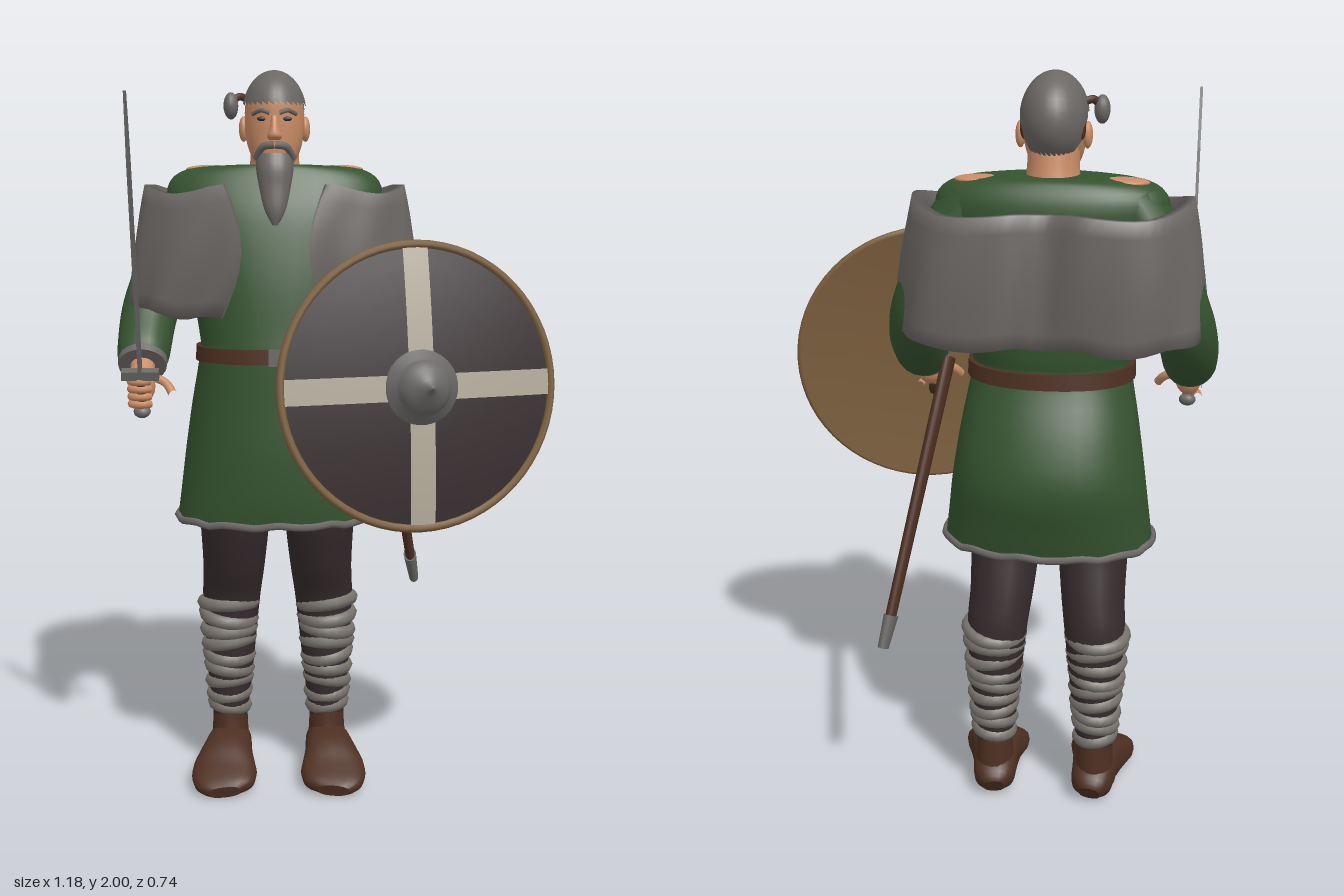
import * as THREE from 'three';

const V = (x, y, z) => new THREE.Vector3(x, y, z);
const CX = -0.16; // body centre line

// Closed skin through rows of points, with flat end caps
function skin(rows) {
  const n = rows[0].length;
  const mid = (r) => {
    const c = V(0, 0, 0);
    r.forEach((p) => c.addScaledVector(p, 1 / n));
    return r.map(() => c);
  };
  const last = rows[rows.length - 1];
  const all = [mid(rows[0]), rows[0], ...rows, last, mid(last)];
  const idx = [];
  for (let i = 0; i < all.length - 1; i++) {
    for (let j = 0; j < n; j++) {
      const a = i * n + j, b = i * n + (j + 1) % n;
      idx.push(a, b, a + n, b, b + n, a + n);
    }
  }
  const g = new THREE.BufferGeometry().setFromPoints(all.flat());
  g.setIndex(idx);
  g.computeVertexNormals();
  return g;
}

// Smooth loft through elliptical sections [x, y, z, rx, rz]; level keeps rings horizontal (list top down)
function loft(secs, { level = false, sides = 20, pow = 1, sub = 4 } = {}) {
  const at = (i) => secs[Math.max(0, Math.min(secs.length - 1, i))];
  const pts = [];
  for (let i = 0; i < secs.length - 1; i++) {
    for (let k = 0; k < sub + (i === secs.length - 2 ? 1 : 0); k++) {
      const t = k / sub;
      pts.push(secs[i].map((_, c) => {
        const [p, q, r, s] = [at(i - 1)[c], at(i)[c], at(i + 1)[c], at(i + 2)[c]];
        return q + 0.5 * t * (r - p + t * (2 * p - 5 * q + 4 * r - s + t * (3 * (q - r) + s - p)));
      }));
    }
  }
  const sp = (v) => Math.sign(v) * Math.abs(v) ** pow;
  return skin(pts.map((p, i) => {
    const a = pts[Math.max(0, i - 1)], b = pts[Math.min(pts.length - 1, i + 1)];
    const T = level ? V(0, -1, 0) : V(b[0] - a[0], b[1] - a[1], b[2] - a[2]).normalize();
    const U = V(1, 0, 0).addScaledVector(T, -T.x).normalize();
    const W = T.clone().cross(U);
    return Array.from({ length: sides }, (_, j) => {
      const w = (j / sides) * Math.PI * 2;
      return V(p[0], p[1], p[2]).addScaledVector(U, sp(Math.cos(w)) * p[3]).addScaledVector(W, sp(Math.sin(w)) * p[4]);
    });
  }));
}

export function createModel() {
  const root = new THREE.Group();
  const mat = (name, color) => new THREE.MeshStandardMaterial({ name, color });
  const green = mat('green wool', 0x35532f), fur = mat('grey cloth', 0x6b6764), skinM = mat('skin', 0xc98c65);
  const dark = mat('dark cloth', 0x352b2d), wrap = mat('leg wrap', 0x77726c), brown = mat('brown leather', 0x4e3022);
  const wood = mat('wood', 0x7d603e), cream = mat('cream paint', 0xb3ab9a), metal = mat('metal', 0x6a6967);

  const add = (name, geo, m, parent = root) => {
    const mesh = new THREE.Mesh(geo, m);
    mesh.name = name;
    parent.add(mesh);
    return mesh;
  };
  const ball = (name, m, x, y, z, sx, sy, sz) =>
    add(name, new THREE.SphereGeometry(1, 16, 12).scale(sx, sy, sz).translate(x, y, z), m);
  const rod = (name, m, pts, r, parent = root) =>
    add(name, new THREE.TubeGeometry(new THREE.CatmullRomCurve3(pts.map((p) => V(...p))), 12, r, 8), m, parent);
  const level = (rows) => rows.map(([y, z, rx, rz]) => [CX, y, z, rx, rz]);

  // Tunic, hem and belt
  add('tunic', loft(level([[1.75, -0.12, 0.1, 0.085], [1.738, -0.125, 0.24, 0.1], [1.69, -0.125, 0.295, 0.125],
    [1.6, -0.11, 0.28, 0.145], [1.45, -0.09, 0.24, 0.158], [1.3, -0.075, 0.212, 0.163], [1.24, -0.07, 0.21, 0.165],
    [1.1, -0.1, 0.235, 0.2], [0.97, -0.115, 0.255, 0.22], [0.85, -0.105, 0.27, 0.205], [0.775, -0.1, 0.28, 0.19]]),
  { level: true, sides: 36, pow: 0.9 }), green);
  const hem = [];
  for (let i = 0; i < 36; i++) {
    const a = (i / 36) * Math.PI * 2, sp = (v) => Math.sign(v) * Math.abs(v) ** 0.9;
    hem.push(V(CX + 0.28 * sp(Math.cos(a)), 0.776 + 0.004 * Math.sin(i * 2.3), -0.1 + 0.19 * sp(Math.sin(a))));
  }
  add('hem', new THREE.TubeGeometry(new THREE.CatmullRomCurve3(hem, true), 72, 0.011, 6, true), fur);
  add('belt', loft(level([[1.262, -0.07, 0.22, 0.174], [1.222, -0.071, 0.222, 0.177]]), { level: true, sides: 36, pow: 0.9 }), brown);
  add('buckle', new THREE.BoxGeometry(0.04, 0.045, 0.016).translate(CX, 1.242, 0.108), metal);

  // Limbs, mirrored about the body centre
  for (const s of [1, -1]) {
    const side = s > 0 ? 'left' : 'right';
    const limb = (rows) => rows.map(([dx, ...r]) => [CX + s * dx, ...r]);
    const X = (dx) => CX + s * dx;
    add(side + 'Sleeve', loft(limb([[0.2, 1.69, -0.125, 0.07, 0.09], [0.265, 1.58, -0.135, 0.08, 0.095],
      [0.325, 1.43, -0.15, 0.078, 0.088], [0.352, 1.335, -0.1, 0.077, 0.082], [0.36, 1.25, -0.01, 0.072, 0.07],
      [0.36, 1.22, 0.035, 0.062, 0.055]])), green);
    add(side + 'Cuff', loft(limb([[0.36, 1.228, 0.024, 0.067, 0.06], [0.36, 1.216, 0.042, 0.065, 0.057]])), fur);
    add(side + 'Hand', loft(limb([[0.36, 1.22, 0.03, 0.034, 0.032], [0.358, 1.19, 0.075, 0.032, 0.03],
      [0.358, 1.165, 0.1, 0.036, 0.042], [0.358, 1.155, 0.125, 0.028, 0.036]])), skinM);
    for (let i = 0; i < 4; i++) {
      const y = 1.185 - i * 0.021, z = 0.118 - i * 0.006;
      rod(side + 'Finger', skinM, [[X(0.385), y, z - 0.02], [X(0.382), y, z + 0.018], [X(0.355), y, z + 0.03], [X(0.335), y, z + 0.012]], 0.0105);
    }
    rod(side + 'Thumb', skinM, [[X(0.345), 1.195, 0.07], [X(0.295), 1.175, 0.09], [X(0.275), 1.15, 0.115]], 0.012);
    // bare patch on top of the shoulder
    ball(side + 'ShoulderPatch', skinM, X(0.18), 1.738, -0.145, 0.065, 0.012, 0.04).rotation.y = 0;

    add(side + 'Trouser', loft(limb([[0.125, 0.86, -0.08, 0.1, 0.11], [0.12, 0.77, -0.075, 0.098, 0.105],
      [0.125, 0.62, -0.12, 0.088, 0.098], [0.135, 0.5, -0.155, 0.082, 0.082], [0.14, 0.3, -0.15, 0.066, 0.07],
      [0.142, 0.14, -0.15, 0.048, 0.058]]), { level: true }), dark);
    for (let i = 0; i < 9; i++) {
      const t = i / 8, r = 0.044 + 0.026 * t;
      const band = add(side + 'LegWrap', new THREE.TorusGeometry(r, 0.022, 8, 20).rotateX(Math.PI / 2), wrap);
      band.scale.set(1, 0.95, 1.04);
      band.position.set(X(0.143), 0.19 + 0.31 * t, -0.152);
      band.rotation.set(0.12 * Math.sin(i * 2.1), 0, 0.16 * Math.sin(i * 1.7 + s));
    }
    add(side + 'BootShaft', loft(limb([[0.142, 0.19, -0.15, 0.05, 0.06], [0.142, 0.12, -0.148, 0.052, 0.066],
      [0.143, 0.04, -0.14, 0.06, 0.078]]), { level: true }), brown);
    add(side + 'Boot', loft(limb([[0.135, 0.036, -0.222, 0.03, 0.03], [0.138, 0.05, -0.195, 0.055, 0.05],
      [0.143, 0.067, -0.12, 0.064, 0.067], [0.15, 0.062, -0.05, 0.076, 0.062], [0.155, 0.043, 0.02, 0.092, 0.043],
      [0.155, 0.028, 0.08, 0.08, 0.028], [0.152, 0.02, 0.108, 0.045, 0.018]]), { pow: 0.8 }), brown);
  }

  // Mantle: a draped band round the shoulders, open at the front
  const half = [[0.1, 0.085], [0.2, 0.07], [0.31, 0.03], [0.37, -0.06], [0.358, -0.2], [0.27, -0.315], [0.11, -0.335]];
  const path = new THREE.CatmullRomCurve3([...half.map(([x, z]) => V(x, 0, z)), V(0, 0, -0.295),
    ...half.slice().reverse().map(([x, z]) => V(-x, 0, z))]);
  const rows = [], steps = 72, drop = 8;
  for (let i = 0; i <= steps; i++) {
    const u = i / steps, p = path.getPoint(u), T = path.getTangent(u);
    const N = V(-T.z, 0, T.x).normalize();
    const front = Math.max(0, 1 - Math.min(u, 1 - u) / 0.16);
    const top = 1.685 + 0.012 * Math.cos(u * 25) - 0.02 * Math.exp(-(((u - 0.5) / 0.05) ** 2));
    const low = 1.345 + 0.035 * Math.exp(-(((Math.min(u, 1 - u) - 0.22) / 0.08) ** 2)) + 0.006 * Math.sin(u * 60);
    const outer = [], inner = [];
    for (let k = 0; k <= drop; k++) {
      const v = k / drop, belly = Math.sin(v * Math.PI);
      const q = V(p.x * (0.95 + 0.12 * v) + Math.sign(p.x) * front * (0.04 - 0.05 * belly), top + (low - top) * v, p.z);
      q.z += front * 0.025 * belly;
      q.x += CX;
      q.addScaledVector(N, 0.008 * belly + 0.007 * v * Math.sin(u * 70 + v * 3));
      outer.push(q);
      inner.unshift(q.clone().addScaledVector(N, -0.024));
    }
    rows.push([...outer, ...inner]);
  }
  add('mantle', skin(rows), fur);

  // Head and face
  add('neck', loft(level([[1.83, -0.095, 0.066, 0.075], [1.75, -0.105, 0.068, 0.08], [1.7, -0.11, 0.09, 0.09]]), { level: true }), skinM);
  add('head', loft(level([[1.975, -0.08, 0.03, 0.05], [1.93, -0.08, 0.073, 0.108], [1.87, -0.078, 0.08, 0.112],
    [1.82, -0.063, 0.077, 0.095], [1.78, -0.05, 0.066, 0.08], [1.745, -0.03, 0.046, 0.055], [1.73, -0.025, 0.025, 0.03]]),
  { level: true, pow: 0.92 }), skinM);
  // Hair cap: low at the nape, short over the brow and ears
  const hair = new THREE.SphereGeometry(1, 32, 16), hp = hair.attributes.position;
  for (let i = 0; i < hp.count; i++) {
    const th = Math.acos(THREE.MathUtils.clamp(hp.getY(i), -1, 1));
    const a = ((i % 33) / 32) * Math.PI * 2, f = Math.sin(a);
    const t = (th / Math.PI) * (1.42 + 1.0 * THREE.MathUtils.smoothstep(-f, 0.1, 0.6));
    hp.setXYZ(i, -Math.cos(a) * Math.sin(t) * 0.087, Math.cos(t) * 0.115, f * Math.sin(t) * 0.13);
  }
  hair.computeVertexNormals();
  const hairM = add('hair', hair, fur);
  hairM.position.set(CX, 1.885, -0.085);
  ball('hairKnot', fur, -0.277, 1.905, -0.068, 0.02, 0.036, 0.028);
  rod('hairTie', brown, [[-0.235, 1.925, -0.09], [-0.255, 1.93, -0.08], [-0.272, 1.915, -0.07]], 0.01);
  for (const s of [1, -1]) {
    ball('ear', skinM, CX + s * 0.084, 1.845, -0.095, 0.013, 0.034, 0.022);
    ball('sideburn', brown, CX + s * 0.07, 1.865, -0.125, 0.012, 0.03, 0.018);
    ball('eye', dark, CX + s * 0.033, 1.867, 0.026, 0.013, 0.006, 0.006);
    rod('brow', fur, [[CX + s * 0.012, 1.882, 0.036], [CX + s * 0.035, 1.889, 0.03], [CX + s * 0.058, 1.88, 0.012]], 0.006);
    rod('moustache', fur, [[CX, 1.8, 0.042], [CX + s * 0.03, 1.795, 0.035], [CX + s * 0.05, 1.765, 0.014]], 0.01);
  }
  add('nose', loft(level([[1.875, 0.03, 0.009, 0.01], [1.845, 0.036, 0.012, 0.016], [1.822, 0.036, 0.02, 0.02], [1.812, 0.03, 0.014, 0.012]]),
    { level: true, sides: 12 }), skinM);
  add('beard', loft(level([[1.778, 0.0, 0.048, 0.045], [1.74, 0.012, 0.05, 0.05], [1.69, 0.03, 0.042, 0.036],
    [1.63, 0.05, 0.028, 0.022], [1.59, 0.058, 0.007, 0.006]]), { level: true }), fur);

  // Sword, gripped in the right hand
  const sword = new THREE.Group();
  sword.name = 'sword';
  sword.position.set(-0.517, 1.205, 0.145);
  sword.rotation.x = 0.315;
  root.add(sword);
  const bladeShape = new THREE.Shape([[-0.022, 0], [0.022, 0], [0.018, 0.58], [0, 0.75], [-0.018, 0.58]].map((p) => new THREE.Vector2(...p)));
  add('blade', new THREE.ExtrudeGeometry(bladeShape, { depth: 0.008, bevelEnabled: false }).translate(0, 0, -0.004).rotateY(Math.PI / 2), metal, sword);
  add('guard', new THREE.BoxGeometry(0.098, 0.024, 0.028), metal, sword);
  add('grip', new THREE.CylinderGeometry(0.013, 0.013, 0.1, 12).translate(0, -0.055, 0), brown, sword);
  add('pommel', new THREE.SphereGeometry(0.023, 14, 10).scale(1, 0.75, 1).translate(0, -0.108, 0), metal, sword);

  // Scabbard on the left hip
  add('scabbard', loft([[0.125, 1.235, -0.02, 0.018, 0.033], [0.245, 0.57, -0.316, 0.014, 0.027]]), brown);
  add('scabbardTip', loft([[0.24, 0.595, -0.305, 0.019, 0.034], [0.256, 0.515, -0.342, 0.014, 0.026]]), metal);

  // Round shield: domed face with painted cross, rim, boss and rear grip
  const shield = new THREE.Group();
  shield.name = 'shield';
  shield.position.set(0.212, 1.175, 0.198);
  shield.quaternion.setFromUnitVectors(V(0, 0, 1), V(0.22, 0.1, 0.97).normalize());
  root.add(shield);
  const R = 0.37, dome = (r) => 0.025 * (1 - (r / R) ** 2);
  const lathe = (name, pts, m) =>
    add(name, new THREE.LatheGeometry(pts.map((p) => new THREE.Vector2(...p)), 48).rotateX(Math.PI / 2), m, shield);
  const radii = [0, 1, 2, 3, 4, 5, 6].map((i) => (R * i) / 6);
  lathe('shieldFace', radii.slice().reverse().map((r) => [r, dome(r)]), dark);
  lathe('shieldBack', radii.map((r) => [r, dome(r) - 0.012]), wood);
  add('rim', new THREE.TorusGeometry(0.372, 0.011, 8, 64), wood, shield);
  for (const turn of [0, Math.PI / 2]) {
    const g = new THREE.PlaneGeometry(2 * R - 0.01, 0.068, 24, 2), p = g.attributes.position;
    for (let i = 0; i < p.count; i++) p.setZ(i, dome(Math.hypot(p.getX(i), p.getY(i))) + 0.004);
    g.computeVertexNormals();
    add('crossStripe', g.rotateZ(turn + 0.02), cream, shield);
  }
  lathe('boss', [[0.1, 0.018], [0.097, 0.034], [0.076, 0.04], [0.07, 0.06], [0.052, 0.083], [0.024, 0.097], [0.009, 0.112], [0, 0.122]], metal);
  rod('shieldGrip', brown, [[0, -0.1, 0.01], [0, -0.085, -0.05], [0, 0, -0.075], [0, 0.06, -0.06], [0, 0.08, 0.01]], 0.012, shield);
  return root;
}
